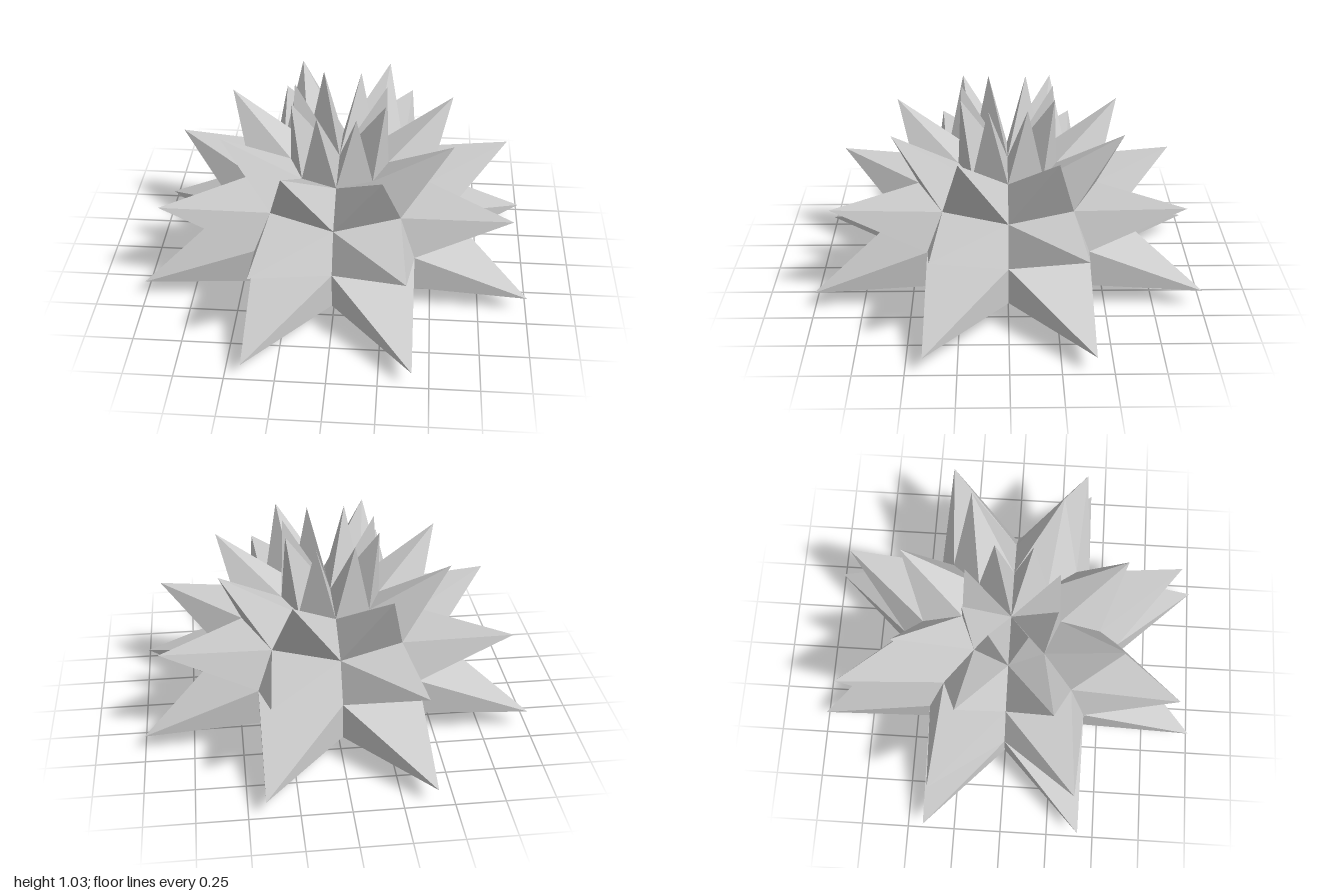
import * as THREE from 'three';

const SIDES = 8;
const STEP = (Math.PI * 2) / SIDES;

// Point at a given sector position, radius and height
const polar = (sector, r, y) =>
  new THREE.Vector3(r * Math.sin(sector * STEP), y, r * Math.cos(sector * STEP));

// Fan of triangles from a counter-clockwise loop of corners to one tip
function fan(corners, tip) {
  return corners.flatMap((p, i) => [p, corners[(i + 1) % corners.length], tip]);
}

// Body rings from the foot to the crown: [radius, height]
const foot = [0.283, 0];
const lower = [0.575, 0.13];
const waist = [0.58, 0.33];
const upper = [0.47, 0.52];
const crown = [0.257, 0.635];

// Corners of one body panel in sector i
const panel = (i, a, b) => [polar(i, ...a), polar(i + 1, ...a), polar(i + 1, ...b), polar(i, ...b)];

// Mesh built by repeating one sector's triangles all the way round
function radialMesh(name, material, sector) {
  const points = [];
  for (let i = 0; i < SIDES; i++) points.push(...sector(i));
  const geometry = new THREE.BufferGeometry().setFromPoints(points);
  geometry.computeVertexNormals();
  const mesh = new THREE.Mesh(geometry, material);
  mesh.name = name;
  return mesh;
}

export function createModel() {
  const group = new THREE.Group();
  group.name = 'spikyStar';
  const material = new THREE.MeshStandardMaterial({
    color: 0xcccccc, flatShading: true, side: THREE.DoubleSide,
  });

  // Three tiers of four-sided spikes: [name, bottom ring, top ring, tip radius, tip height]
  const tiers = [
    ['lowerSpikes', lower, waist, 1.082, 0.095],
    ['middleSpikes', waist, upper, 0.972, 0.552],
    ['upperSpikes', upper, crown, 0.632, 0.9],
  ];
  for (const [name, a, b, r, y] of tiers) {
    group.add(radialMesh(name, material, (i) => fan(panel(i, a, b), polar(i + 0.5, r, y))));
  }

  // Three-sided spikes on the crown, meeting at the middle
  const top = new THREE.Vector3(0, 0.665, 0);
  group.add(radialMesh('crownSpikes', material, (i) =>
    fan([polar(i, ...crown), polar(i + 1, ...crown), top], polar(i + 0.5, 0.257, 1.03))));

  // Plain sloping underside
  group.add(radialMesh('underside', material, (i) => {
    const [p, q, r, s] = panel(i, foot, lower);
    return [p, q, r, p, r, s];
  }));

  // Base with a three-sided hollow in each sector
  const base = new THREE.Vector3(0, 0.01, 0);
  group.add(radialMesh('baseHollows', material, (i) =>
    fan([polar(i + 1, ...foot), polar(i, ...foot), base], polar(i + 0.5, 0.17, 0.1))));

  return group;
}
